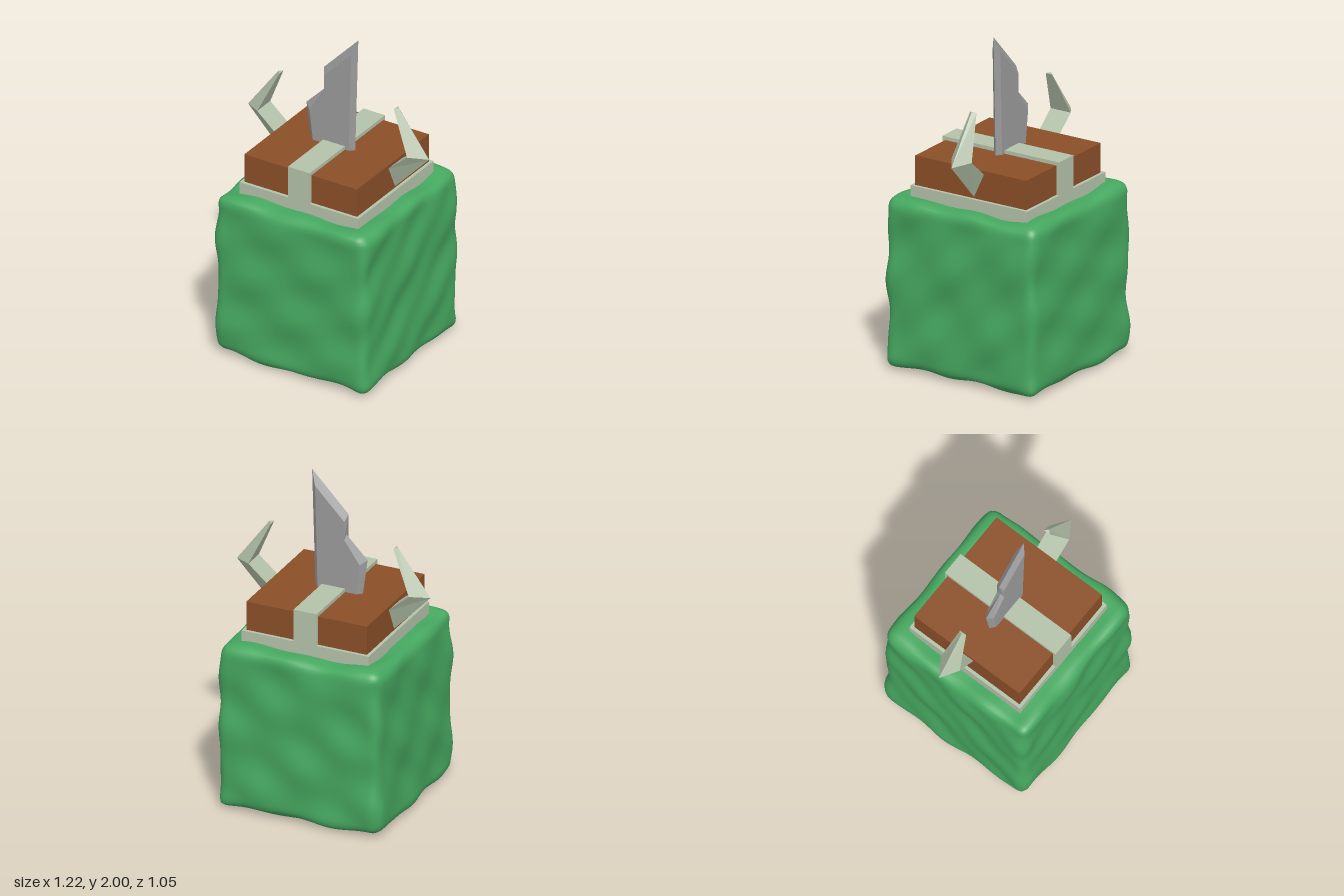
import * as THREE from 'three';
import { mergeVertices } from 'three/addons/utils/BufferGeometryUtils.js';

const paint = (color, extra = {}) => new THREE.MeshStandardMaterial({ color, ...extra });
const GREEN = paint(0x46a860);
const BROWN = paint(0x8b4f28);
const BONE = paint(0xb4c2aa, { flatShading: true, side: THREE.DoubleSide });
const STEEL = paint(0x9b9b9b, { flatShading: true, side: THREE.DoubleSide });

function add(parent, name, geometry, material, y = 0) {
  const mesh = new THREE.Mesh(geometry, material);
  mesh.name = name;
  mesh.position.y = y;
  parent.add(mesh);
  return mesh;
}

// Closed skin through rings of equal point count, with fan caps at both ends
function loft(rings) {
  const n = rings[0].length;
  const index = [];
  for (let r = 0; r < rings.length - 1; r++) {
    for (let i = 0; i < n; i++) {
      const a = r * n + i, b = r * n + (i + 1) % n;
      index.push(a, b, b + n, a, b + n, a + n);
    }
  }
  const last = (rings.length - 1) * n;
  for (let i = 1; i < n - 1; i++) index.push(0, i + 1, i, last, last + i, last + i + 1);
  const g = new THREE.BufferGeometry();
  g.setAttribute('position', new THREE.Float32BufferAttribute(rings.flat(2), 3));
  g.setIndex(index);
  g.computeVertexNormals();
  return g;
}

// Soft, lumpy rounded cube
function lumpyCube() {
  const half = 0.508, radius = 0.06, core = half - radius;
  let g = new THREE.BoxGeometry(2 * half, 2 * half, 2 * half, 48, 48, 48);
  g.deleteAttribute('normal');
  g.deleteAttribute('uv');
  g = mergeVertices(g);
  const pos = g.attributes.position;
  const p = new THREE.Vector3(), c = new THREE.Vector3(), d = new THREE.Vector3();
  const lo = new THREE.Vector3(-core, -core, -core), hi = new THREE.Vector3(core, core, core);
  for (let i = 0; i < pos.count; i++) {
    p.fromBufferAttribute(pos, i);
    c.copy(p).clamp(lo, hi);
    d.copy(p).sub(c).normalize();
    const { x, y, z } = p;
    const lump = 0.006 * Math.sin(9 * x + 14 * y + 5 * z + 1)
      + 0.005 * Math.sin(17 * x - 10 * y + 13 * z)
      + 0.004 * Math.sin(-8 * x + 21 * y + 19 * z + 2);
    p.copy(c).addScaledVector(d, radius + lump);
    pos.setXYZ(i, p.x, p.y, p.z);
  }
  g.computeVertexNormals();
  g.computeBoundingBox();
  g.translate(0, -g.boundingBox.min.y, 0);
  return g;
}

// Blade: sharp rim in the middle plane, bevelled to two flat faces
function bladeGeometry() {
  const rim = [[-0.163, 1.2], [0.124, 1.2], [0.147, 2], [-0.083, 1.76], [-0.07, 1.63], [-0.203, 1.495]];
  const flat = [[-0.133, 1.2], [0.098, 1.2], [0.116, 1.91], [-0.068, 1.72], [-0.068, 1.605], [-0.165, 1.465]];
  const t = 0.027;
  const positions = [];
  const tri = (...pts) => positions.push(...pts.flat());
  const faces = THREE.ShapeUtils.triangulateShape(flat.map(p => new THREE.Vector2(...p)), []);
  for (const s of [1, -1]) {
    const order = (a, b, c) => (s > 0 ? tri(a, b, c) : tri(a, c, b));
    for (const f of faces) order(...f.map(i => [...flat[i], s * t]));
    rim.forEach((p, i) => {
      const j = (i + 1) % rim.length;
      const a = [...p, 0], b = [...rim[j], 0];
      const c = [...flat[j], s * t], d = [...flat[i], s * t];
      order(a, b, c);
      order(a, c, d);
    });
  }
  const g = new THREE.BufferGeometry();
  g.setAttribute('position', new THREE.Float32BufferAttribute(positions, 3));
  g.computeVertexNormals();
  return g;
}

// Three-sided bent horn: outer ridge and two inner corners per ring
function hornGeometry(side) {
  const ring = (ox, oy, ix, iy, w) => {
    const pts = [[side * ox, oy, -0.022], [side * ix, iy, -0.022 - w], [side * ix, iy, -0.022 + w]];
    return side > 0 ? pts : pts.reverse();
  };
  return loft([
    ring(0.372, 1.1, 0.372, 1.25, 0.069),
    ring(0.61, 1.35, 0.505, 1.365, 0.069),
    ring(0.405, 1.627, 0.386, 1.622, 0.022),
  ]);
}

export function createModel() {
  const model = new THREE.Group();
  model.name = 'hornedCube';
  add(model, 'body', lumpyCube(), GREEN);

  // Helmet: rim plate, padded block and the band across it
  const helmet = new THREE.Group();
  helmet.name = 'helmet';
  model.add(helmet);
  add(helmet, 'helmetRim', new THREE.BoxGeometry(0.8, 0.1, 0.8), BONE, 1.05);
  add(helmet, 'helmetBlock', new THREE.BoxGeometry(0.76, 0.2, 0.76), BROWN, 1.178);
  add(helmet, 'helmetBand', new THREE.BoxGeometry(0.146, 0.3, 0.8), BONE, 1.15);
  add(helmet, 'blade', bladeGeometry(), STEEL);
  add(helmet, 'leftHorn', hornGeometry(1), BONE);
  add(helmet, 'rightHorn', hornGeometry(-1), BONE);
  return model;
}
